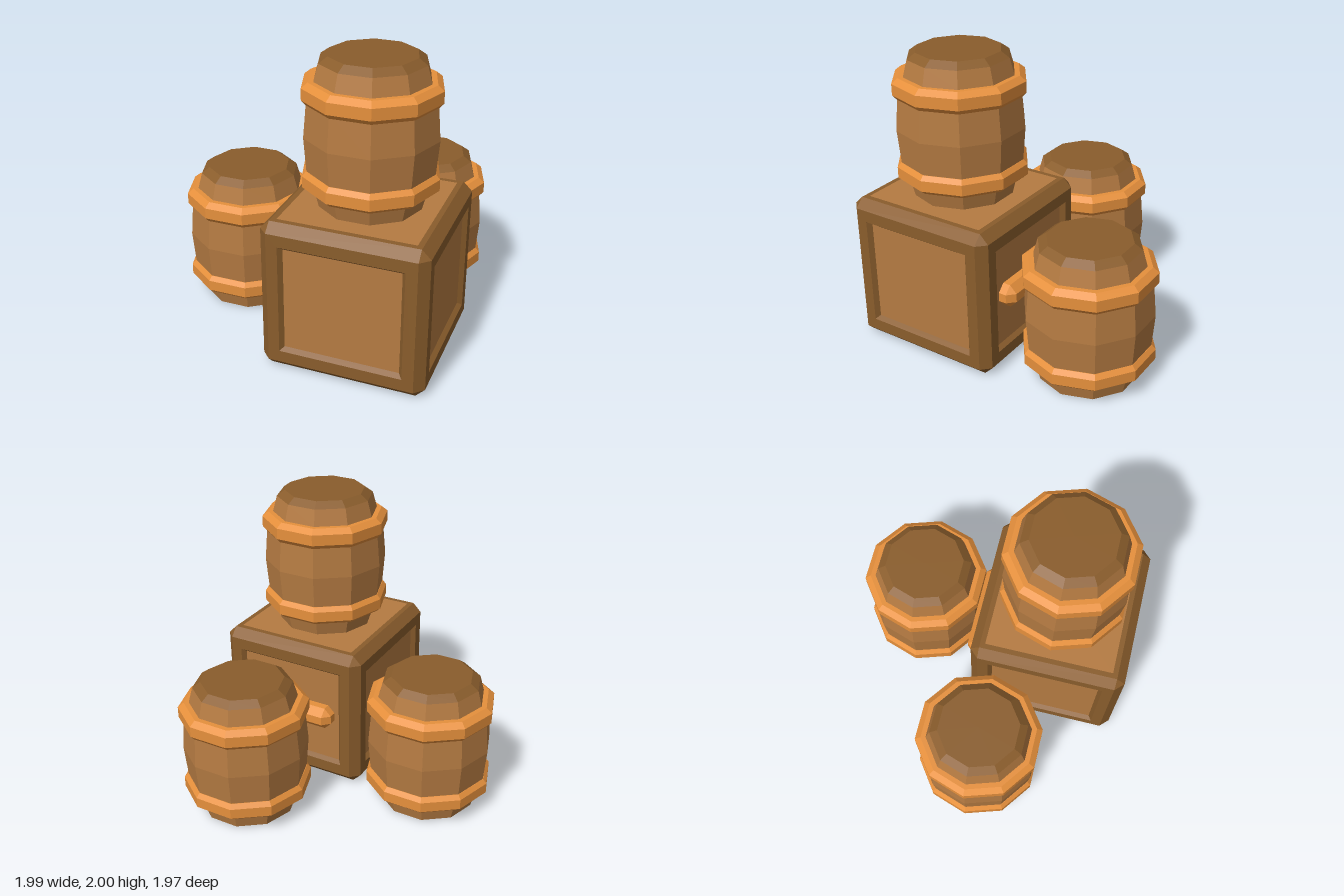
import * as THREE from 'three';

const mat = (name, color) => {
  const m = new THREE.MeshStandardMaterial({ color });
  m.name = name;
  return m;
};

// Faceted geometry from polygons (3 or 4 corners each)
function facets(polys) {
  const pos = [];
  for (const p of polys)
    for (let i = 1; i < p.length - 1; i++) pos.push(...p[0], ...p[i], ...p[i + 1]);
  const g = new THREE.BufferGeometry();
  g.setAttribute('position', new THREE.Float32BufferAttribute(pos, 3));
  g.computeVertexNormals();
  return g;
}

// Turn a convex polygon so that it faces away from the origin
function outward(p) {
  const [a, b, c] = p.map((v) => new THREE.Vector3(...v));
  const n = b.clone().sub(a).cross(c.clone().sub(a));
  return n.dot(a) < 0 ? p.slice().reverse() : p;
}

// Box with bevelled edges, h = half sizes; faces on the listed axes are filled
function bevelBox(h, bevel, filledAxes) {
  const polys = [];
  const corner = (s, face) => s.map((k, i) => k * (i === face ? h[i] : h[i] - bevel));
  const S = [-1, 1];
  for (let a = 0; a < 3; a++) {
    const b = (a + 1) % 3, c = (a + 2) % 3;
    const sign = (sa, sb, sc) => {
      const s = [0, 0, 0];
      s[a] = sa; s[b] = sb; s[c] = sc;
      return s;
    };
    for (const u of S) {
      if (filledAxes.includes(a))
        polys.push(outward([[-1, -1], [1, -1], [1, 1], [-1, 1]].map(([v, w]) => corner(sign(u, v, w), a))));
      // Bevel strips running along axis a
      for (const v of S)
        polys.push(outward([
          corner(sign(-1, u, v), b), corner(sign(1, u, v), b),
          corner(sign(1, u, v), c), corner(sign(-1, u, v), c)]));
    }
  }
  // Corner triangles
  for (const x of S) for (const y of S) for (const z of S)
    polys.push(outward([0, 1, 2].map((f) => corner([x, y, z], f))));
  return facets(polys);
}

// Rectangular rings [halfWidth, halfHeight, z] joined from outside to inside, facing +z
function ringLoft(rings) {
  const pts = rings.map(([w, h, z]) => [[-w, -h, z], [w, -h, z], [w, h, z], [-w, h, z]]);
  const polys = [];
  for (let r = 0; r < pts.length - 1; r++)
    for (let i = 0; i < 4; i++) {
      const j = (i + 1) % 4;
      polys.push([pts[r][i], pts[r][j], pts[r + 1][j], pts[r + 1][i]]);
    }
  return facets(polys);
}

// Ten-sided turned part with flat facets
function turned(profile) {
  const g = new THREE.LatheGeometry(profile.map(([r, y]) => new THREE.Vector2(r, y)), 10, Math.PI / 2).toNonIndexed();
  g.computeVertexNormals();
  return g;
}

export function createModel() {
  const model = new THREE.Group();
  const wood = mat('wood', 0xb57b42);
  const darkWood = mat('darkWood', 0x8a5d2c);
  const hoopMat = mat('hoopOrange', 0xe6903c);

  const add = (parent, name, geometry, material) => {
    const m = new THREE.Mesh(geometry, material);
    m.name = name;
    parent.add(m);
    return m;
  };

  // Crate: bevelled frame with a shallow recessed panel on each side
  const crate = new THREE.Group();
  crate.name = 'crate';
  crate.position.set(0.455, 0.515, 0.445);
  model.add(crate);
  const half = [0.54, 0.515, 0.54], bevel = 0.06, recess = 0.03;
  add(crate, 'crateFrame', bevelBox(half, bevel, [1]), darkWood);
  const rim = ringLoft([
    [half[0] - bevel, half[1] - bevel, half[2]],
    [0.405, 0.375, half[2]],
    [0.38, 0.352, half[2] - recess]]);
  const panel = new THREE.PlaneGeometry(0.76, 0.704).translate(0, 0, half[2] - recess);
  for (let i = 0; i < 4; i++) {
    const side = new THREE.Group();
    side.name = 'crateSide';
    side.rotation.y = i * Math.PI / 2;
    crate.add(side);
    add(side, 'sideFrame', rim, darkWood);
    add(side, 'sidePanel', panel, wood);
  }
  const topPanel = add(crate, 'topPanel', new THREE.PlaneGeometry(0.89, 0.89), wood);
  topPanel.rotation.x = -Math.PI / 2;
  topPanel.position.y = half[1] + 0.001;

  // Bevelled bar across the back of the crate
  const bar = add(model, 'backBar', bevelBox([0.345, 0.08, 0.09], 0.05, [0, 1, 2]), hoopMat);
  bar.position.set(0.455, 0.52, -0.078);

  // Barrels: staves, lid and two hoops
  const staves = turned([[0, 0], [0.335, 0], [0.365, 0.12], [0.41, 0.23], [0.43, 0.47],
    [0.41, 0.71], [0.365, 0.82], [0.335, 0.93]]);
  const lid = turned([[0.335, 0.93], [0.28, 0.97], [0, 0.97]]);
  const lowerHoop = turned([[0.35, 0.117], [0.405, 0.117], [0.441, 0.147], [0.441, 0.22], [0.415, 0.25], [0.38, 0.25]]);
  const upperHoop = turned([[0.38, 0.682], [0.415, 0.682], [0.441, 0.712], [0.441, 0.787], [0.4, 0.82], [0.35, 0.82]]);
  const places = {
    rightBarrel: [-0.557, 0, 0.095],
    backBarrel: [0.522, 0, -0.57],
    topBarrel: [0.457, 1.03, 0.445],
  };
  for (const [name, p] of Object.entries(places)) {
    const barrel = new THREE.Group();
    barrel.name = name;
    barrel.position.set(...p);
    model.add(barrel);
    add(barrel, 'staves', staves, wood);
    add(barrel, 'lid', lid, darkWood);
    add(barrel, 'lowerHoop', lowerHoop, hoopMat);
    add(barrel, 'upperHoop', upperHoop, hoopMat);
  }
  return model;
}
